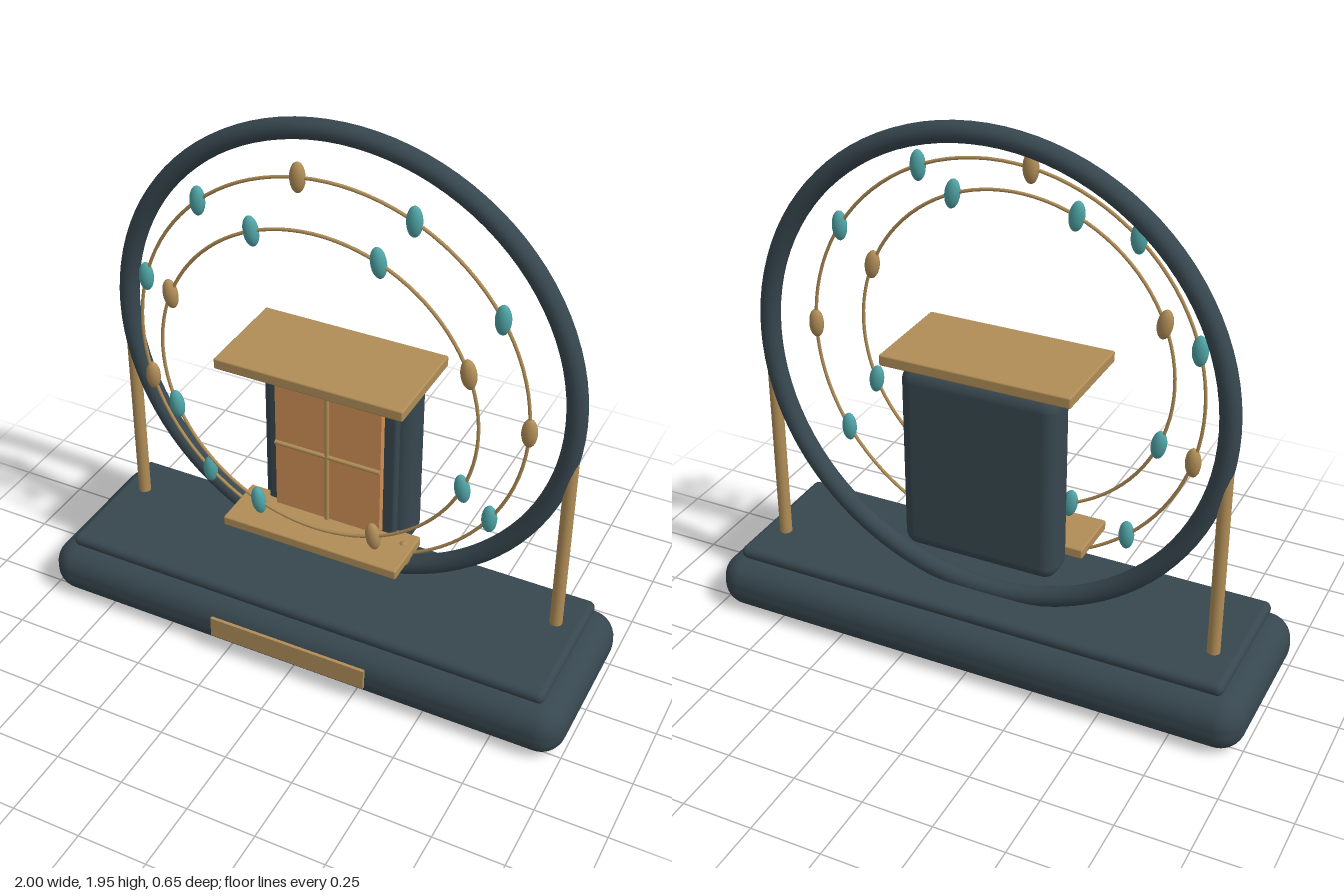
import * as THREE from 'three';
import { RoundedBoxGeometry } from 'three/addons/geometries/RoundedBoxGeometry.js';

const mat = (name, color) => {
  const m = new THREE.MeshStandardMaterial({ color });
  m.name = name;
  return m;
};

export function createModel() {
  const slate = mat('dark slate', 0x37474f);
  const brass = mat('brass', 0xb08d57);
  const teal = mat('teal', 0x4fa3a5);
  const amber = mat('amber glass', 0xcd8f55);

  const model = new THREE.Group();
  model.name = 'ringStandWithWindow';

  const add = (name, geometry, material, x, y, z, parent = model) => {
    const mesh = new THREE.Mesh(geometry, material);
    mesh.name = name;
    mesh.position.set(x, y, z);
    parent.add(mesh);
    return mesh;
  };
  const rounded = (w, h, d, r) => new RoundedBoxGeometry(w, h, d, 5, r);

  // Two-tier base with a plaque on the front
  add('base', rounded(2, 0.2, 0.64, 0.09), slate, 0, 0.1, -0.01);
  add('baseTop', rounded(1.84, 0.05, 0.53, 0.024), slate, 0, 0.225, -0.01);
  add('plaque', new THREE.BoxGeometry(0.6, 0.08, 0.012), brass, 0, 0.11, 0.316);

  // Main ring and its two posts
  const centreY = 1.08;
  const ringZ = -0.105;
  add('mainRing', new THREE.TorusGeometry(0.83, 0.035, 20, 96), slate, 0, centreY, ringZ);
  for (const side of [-1, 1]) {
    add(side > 0 ? 'leftPost' : 'rightPost',
      new THREE.CylinderGeometry(0.0225, 0.0225, 0.76, 20), brass, side * 0.83, 0.6, ringZ);
  }

  // Wire hoops strung with oval beads, every third one brass
  const beadGeometry = new THREE.SphereGeometry(1, 20, 14);
  beadGeometry.scale(0.027, 0.053, 0.022);
  const addHoop = (name, radius, z, count, start, tilt) => {
    const hoop = new THREE.Group();
    hoop.name = name;
    hoop.position.set(0, centreY, z);
    model.add(hoop);
    add(name + 'Wire', new THREE.TorusGeometry(radius, 0.006, 8, 96), brass, 0, 0, 0, hoop);
    for (let i = 0; i < count; i++) {
      const a = start + (i / count) * Math.PI * 2;
      const bead = add('bead', beadGeometry, i % 3 === 0 ? brass : teal,
        radius * Math.cos(a), radius * Math.sin(a), 0, hoop);
      bead.rotation.z = tilt;
    }
  };
  addHoop('outerHoop', 0.712, 0, 11, 0, 0);
  addHoop('innerHoop', 0.576, 0.09, 8, Math.PI / 8, 0.15);

  // Window box with frame, glass and crossing bars
  const windowBox = new THREE.Group();
  windowBox.name = 'window';
  model.add(windowBox);
  add('windowBody', rounded(0.57, 0.69, 0.145, 0.05), slate, 0, 0.75, -0.1275, windowBox);
  add('windowFrame', rounded(0.49, 0.59, 0.05, 0.012), slate, 0, 0.755, -0.055, windowBox);
  add('glass', new THREE.BoxGeometry(0.4, 0.53, 0.035), amber, 0, 0.745, -0.0205, windowBox);
  add('verticalBar', new THREE.CylinderGeometry(0.008, 0.008, 0.53, 12), brass, 0, 0.745, 0, windowBox);
  add('horizontalBar', new THREE.CylinderGeometry(0.008, 0.008, 0.4, 12), brass, 0, 0.748, 0, windowBox)
    .rotation.z = Math.PI / 2;

  // Flat roof and sill boards
  add('roofBoard', rounded(0.685, 0.04, 0.366, 0.006), brass, 0, 1.117, -0.031, windowBox);
  add('sill', rounded(0.665, 0.037, 0.21, 0.006), brass, 0, 0.457, 0.043, windowBox);

  return model;
}
